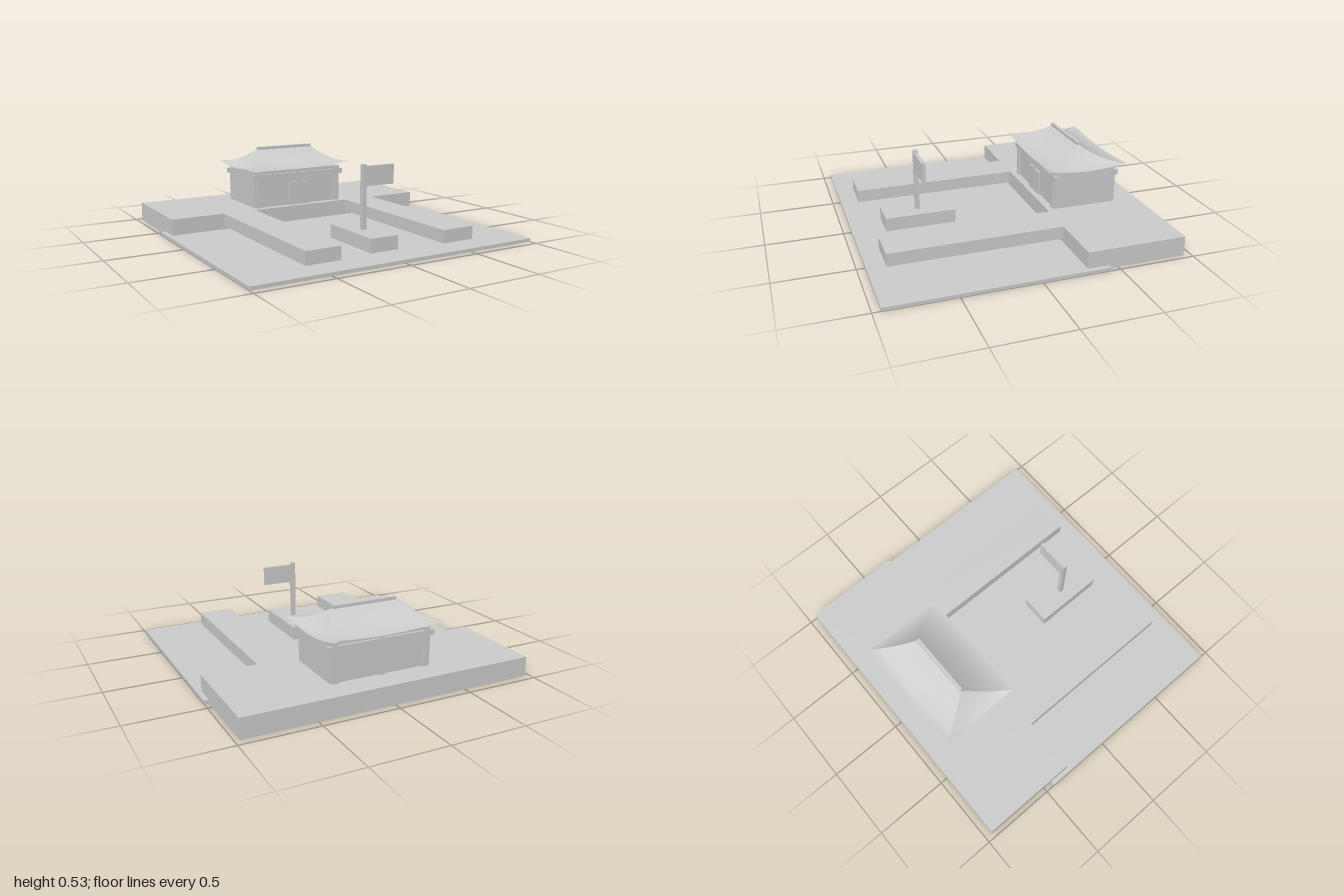
import * as THREE from 'three';

const stone = new THREE.MeshStandardMaterial({ color: 0xcccccc, side: THREE.DoubleSide });
stone.name = 'light grey';

const HALL_Z = -0.562; // centre line of the hall

// Box given by its limits on each axis
function box(name, [x0, x1], [y0, y1], [z0, z1]) {
  const mesh = new THREE.Mesh(new THREE.BoxGeometry(x1 - x0, y1 - y0, z1 - z0), stone);
  mesh.position.set((x0 + x1) / 2, (y0 + y1) / 2, (z0 + z1) / 2);
  mesh.name = name;
  return mesh;
}

// One concave hipped roof slope, facing +z before it is turned:
// eave half-length -> ridge half-length, eave depth -> ridge depth
function roofSlope(eaveHalf, ridgeHalf, eaveDepth, ridgeDepth) {
  const cols = 16, rows = 14, points = [], index = [];
  for (let j = 0; j <= rows; j++) {
    const s = j / rows;
    const half = THREE.MathUtils.lerp(eaveHalf, ridgeHalf, s);
    const depth = THREE.MathUtils.lerp(eaveDepth, ridgeDepth, s);
    for (let i = 0; i <= cols; i++) {
      const t = (i / cols) * 2 - 1;
      // corners sweep upward, the slope steepens toward the ridge
      const y = 0.395 + 0.025 * t * t * (1 - s) ** 2 + 0.122 * s ** 1.6;
      points.push(t * half, y, depth);
    }
  }
  for (let j = 0; j < rows; j++) {
    for (let i = 0; i < cols; i++) {
      const a = j * (cols + 1) + i, b = a + 1, c = a + cols + 1, d = c + 1;
      index.push(a, b, d, a, d, c);
    }
  }
  const indexed = new THREE.BufferGeometry();
  indexed.setAttribute('position', new THREE.Float32BufferAttribute(points, 3));
  indexed.setIndex(index);
  const geometry = indexed.toNonIndexed();
  geometry.computeVertexNormals();
  return geometry;
}

function createRoof() {
  const roof = new THREE.Group();
  roof.name = 'roof';
  const long = roofSlope(0.403, 0.22, 0.265, 0);
  const short = roofSlope(0.265, 0, 0.403, 0.22);
  ['frontSlope', 'leftSlope', 'backSlope', 'rightSlope'].forEach((name, i) => {
    const slope = new THREE.Mesh(i % 2 ? short : long, stone);
    slope.name = name;
    slope.rotation.y = i * Math.PI / 2;
    roof.add(slope);
  });
  roof.add(box('ridge', [-0.22, 0.22], [0.512, 0.532], [-0.011, 0.011]));
  return roof;
}

function createHall() {
  const hall = new THREE.Group();
  hall.name = 'hall';
  hall.position.z = HALL_Z;
  hall.add(box('walls', [-0.345, 0.345], [0.13, 0.385], [-0.212, 0.212]));
  // posts and lintels on the front and back walls
  for (const side of [1, -1]) {
    const face = new THREE.Group();
    face.name = side > 0 ? 'frontFrame' : 'backFrame';
    face.rotation.y = side > 0 ? 0 : Math.PI;
    for (const x of [-0.313, 0, 0.313]) {
      face.add(box('post', [x - 0.018, x + 0.018], [0.13, 0.385], [0.19, 0.226]));
    }
    face.add(box('lintel', [-0.363, 0.363], [0.328, 0.364], [0.198, 0.228]));
    hall.add(face);
  }
  hall.add(box('door', [-0.08, 0.08], [0.13, 0.294], [0.2, 0.227]));
  hall.add(createRoof());
  return hall;
}

export function createModel() {
  const model = new THREE.Group();
  model.name = 'templeCourt';

  // Ground slab and raised rear terrace
  model.add(box('groundSlab', [-1, 1], [0, 0.022], [-0.438, 0.949]));
  model.add(box('rearTerrace', [-0.97, 0.97], [0, 0.13], [-0.949, -0.298]));

  // Two long walkways reaching forward from the terrace
  model.add(box('leftWalkway', [0.37, 0.605], [0.045, 0.13], [-0.298, 0.835]));
  model.add(box('rightWalkway', [-0.605, -0.37], [0.045, 0.13], [-0.298, 0.835]));

  // Pedestal with flagpole and flag
  model.add(box('pedestal', [-0.1, 0.1], [0.022, 0.112], [0.265, 0.734]));
  model.add(box('flagpole', [-0.016, 0.013], [0.112, 0.525], [0.485, 0.515]));
  model.add(box('flag', [0.013, 0.22], [0.386, 0.513], [0.488, 0.512]));

  model.add(createHall());
  return model;
}
